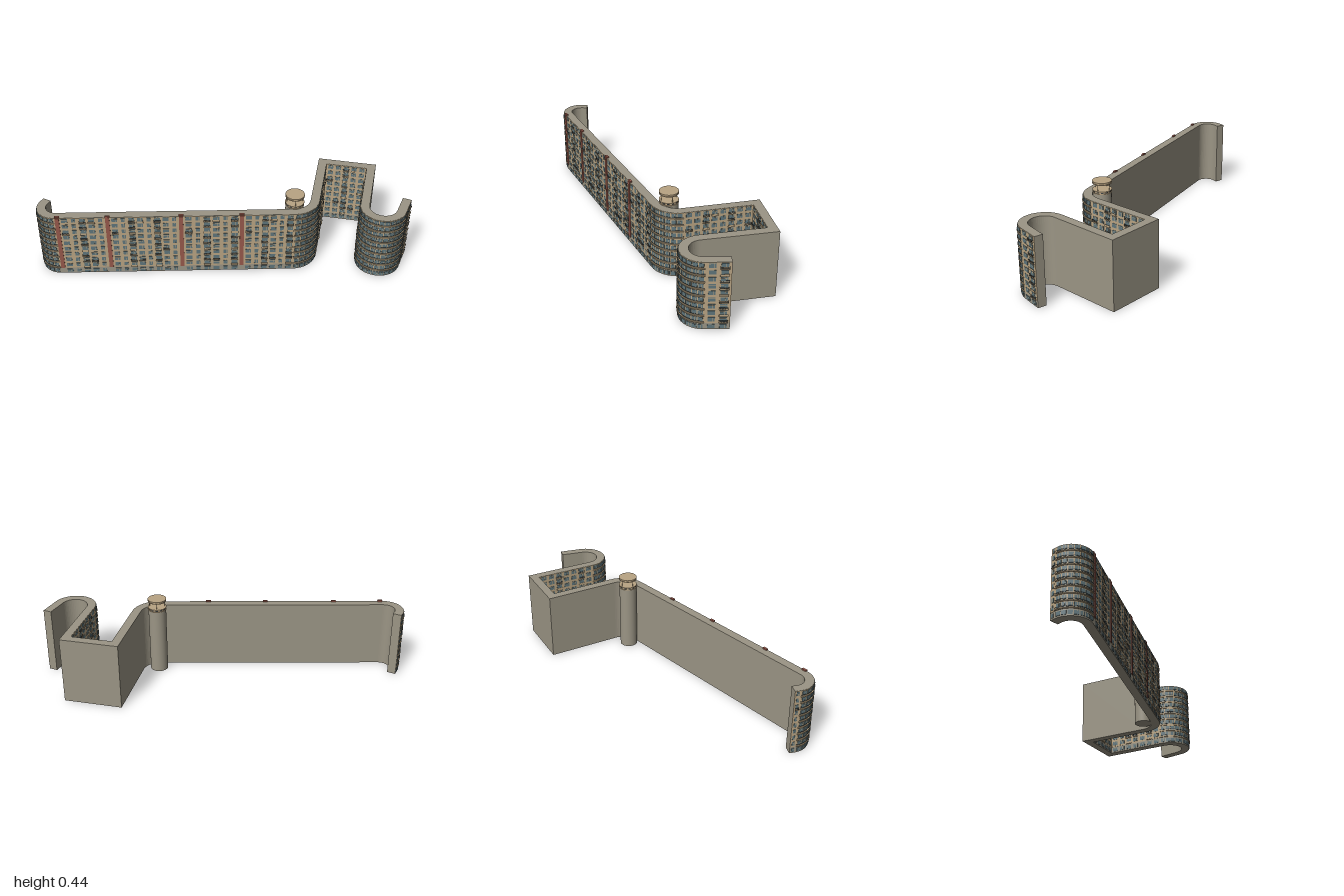
import * as THREE from 'three';
import { mergeGeometries } from 'three/addons/utils/BufferGeometryUtils.js';

const mat = (name, color) => { const m = new THREE.MeshStandardMaterial({ color }); m.name = name; return m; };
const MAT = {
  concrete: mat('grey concrete', 0x9b9585),
  tan: mat('tan plaster', 0xb9a483),
  glass: mat('blue grey glass', 0x5f757b),
  dark: mat('dark railing', 0x3d4244),
  brick: mat('red brown brick', 0x96594b),
};
const T = 0.047, H = 0.374, FLOORS = 10, FH = H / FLOORS;
const rad = Math.PI / 180;

// Centre line of the winding block in plan: sections of points [x, z]
const arc = (cx, cz, r, a0, a1, n) => Array.from({ length: n + 1 }, (_, i) => {
  const a = (a0 + (a1 - a0) * i / n) * rad;
  return [cx + r * Math.cos(a), cz + r * Math.sin(a)];
});
const hook = arc(-0.895, 0.109, 0.08, 207, 90, 14);
const bend = arc(0.364, 0.076, 0.12, 90, 13, 12);
const bulb = arc(0.837, 0.174, 0.097, 195.4, 24.3, 22);
const sections = [
  { name: 'hookTip', pts: [[-0.952, 0.046], hook[0]], fill: 0.6 },
  { name: 'hook', pts: hook, fill: 0.8, ribbon: true },
  { name: 'long', pts: [hook[14], bend[0]], fill: 0.68 },
  { name: 'bend', pts: bend, fill: 0.8, ribbon: true },
  { name: 'wingA', pts: [bend[12], [0.567, -0.271]], fill: 0.65 },
  { name: 'wingB', pts: [[0.567, -0.271], [0.834, -0.207]], fill: 0.65 },
  { name: 'wingC', pts: [[0.834, -0.207], bulb[0]], fill: 0.65 },
  { name: 'bulb', pts: bulb, fill: 0.84, ribbon: true },
  { name: 'bulbTip', pts: [bulb[22], [0.976, 0.104]], fill: 0.6 },
];

// Facade line: centre line moved outward with mitred corners, measured by length s
const line = [];
sections.forEach((sec, k) => {
  sec.i0 = k ? line.length - 1 : 0;
  (k ? sec.pts.slice(1) : sec.pts).forEach(([x, z]) => line.push({ x, z }));
  sec.i1 = line.length - 1;
});
const normal = (a, b) => {
  const l = Math.hypot(b.x - a.x, b.z - a.z);
  return [-(b.z - a.z) / l, (b.x - a.x) / l];
};
line.forEach((p, i) => {
  const a = normal(line[Math.max(i - 1, 0)], line[Math.max(i, 1)]);
  const last = line.length - 1;
  const b = normal(line[Math.min(i, last - 1)], line[Math.min(i + 1, last)]);
  const k = 1 / (1 + a[0] * b[0] + a[1] * b[1]);
  p.m = [(a[0] + b[0]) * k, (a[1] + b[1]) * k];
});
line.forEach((p) => { p.x += p.m[0] * T / 2; p.z += p.m[1] * T / 2; });
line.forEach((p, i) => { p.s = i ? line[i - 1].s + Math.hypot(p.x - line[i - 1].x, p.z - line[i - 1].z) : 0; });

// Wall following the facade between two points, from offset o0 to o1
function band(i0, i1, y0, y1, o0, o1) {
  const run = line.slice(i0, i1 + 1);
  const side = (o) => run.map((p) => new THREE.Vector2(p.x + p.m[0] * o, -(p.z + p.m[1] * o)));
  const shape = new THREE.Shape([...side(o1), ...side(o0).reverse()]);
  const g = new THREE.ExtrudeGeometry(shape, { depth: y1 - y0, bevelEnabled: false });
  return g.rotateX(-Math.PI / 2).translate(0, y0, 0);
}

// Box on the facade at length s: centre u along, y up, o outward
function block(s, w, h, d, y, o = 0, u = 0) {
  let i = 1;
  while (i < line.length - 1 && line[i].s < s) i++;
  const a = line[i - 1], b = line[i], f = (s - a.s) / (b.s - a.s);
  const [nx, nz] = normal(a, b);
  return new THREE.BoxGeometry(w, h, d).translate(u, y, o).rotateY(Math.atan2(nx, nz))
    .translate(a.x + (b.x - a.x) * f, 0, a.z + (b.z - a.z) * f);
}

export function createModel() {
  const group = new THREE.Group();
  const add = (name, material, geos, parent = group) => {
    const list = [].concat(geos).map((g) => (g.index ? g.toNonIndexed() : g));
    const m = new THREE.Mesh(mergeGeometries(list), material);
    m.name = name;
    parent.add(m);
  };
  const end = line.length - 1;
  add('buildingBody', MAT.concrete, band(0, end, 0, H, -T, 0));
  add('upperFacade', MAT.tan, band(0, end, FH, H - 0.001, 0, 0.001));

  const panes = [], frames = [], slabs = [], rails = [], parapets = [];

  function windowAt(s, w, f) {
    const y = f * FH + (f ? 0.021 : 0.018), h = f ? 0.023 : 0.021;
    panes.push(block(s, w, h, 0.004, y, 0.0005));
    frames.push(block(s, 0.0012, h, 0.005, y, 0.0005, w * 0.17));
    if (w > 0.025) frames.push(block(s, w, 0.001, 0.005, y + h * 0.25, 0.0005));
  }
  function balconyAt(s, w, f, solid) {
    const y = f * FH + 0.003, d = 0.008;
    slabs.push(block(s, w, 0.003, d, y, d / 2));
    if (solid) { parapets.push(block(s, w, 0.011, 0.0015, y + 0.006, d)); return; }
    for (const h of [0.006, 0.012]) rails.push(block(s, w, 0.0016, 0.0012, y + h, d - 0.001));
    for (let k = 0; k <= 6; k++) rails.push(block(s, 0.001, 0.012, 0.001, y + 0.006, d - 0.001, (k / 6 - 0.5) * w * 0.98));
    for (const e of [-1, 1]) rails.push(block(s, 0.001, 0.0016, d, y + 0.012, d / 2, e * w * 0.49));
  }
  // Evenly spaced window bays from s0 to s1
  function bays(s0, s1, sec) {
    const n = Math.max(1, Math.round((s1 - s0) / (sec.ribbon ? 0.03 : 0.046)));
    const step = (s1 - s0) / n;
    for (let i = 0; i < n; i++) {
      const s = s0 + step * (i + 0.5);
      const narrow = sec.name === 'long' && i % 3 === 1;
      for (let f = 0; f < FLOORS; f++) {
        windowAt(s, step * (narrow ? 0.45 : sec.fill), f);
        if (!f || sec.ribbon) continue;
        if (sec.name === 'bulbTip' ? i === n - 1 : !narrow && i % 3 === 2 || (!narrow && (i * 5 + f * 3) % 7 === 0)) {
          balconyAt(s, step * 0.78, f, (f + i) % 3 === 0);
        }
      }
    }
  }

  // Stair strips divide the long front
  const strips = [-0.885, -0.62, -0.235, 0.085];
  const brick = [], caps = [];
  for (const sec of sections) {
    const s0 = line[sec.i0].s, s1 = line[sec.i1].s;
    if (sec.name === 'long') {
      const at = strips.map((x) => s0 + Math.max(0.014, x - line[sec.i0].x));
      at.forEach((s) => {
        brick.push(block(s, 0.022, H - FH, 0.006, (H + FH) / 2, 0.002));
        caps.push(block(s, 0.026, 0.008, 0.012, H + 0.003, -0.004));
      });
      [...at, s1 + 0.012].forEach((s, k) => { if (k) bays(at[k - 1] + 0.014, s - 0.014, sec); });
    } else bays(s0 + 0.004, s1 - 0.004, sec);
    // Continuous balcony ledges on the curves
    if (sec.ribbon) for (let f = 1; f < FLOORS; f++) {
      slabs.push(band(sec.i0, sec.i1, f * FH, f * FH + 0.005, 0, 0.006));
      rails.push(band(sec.i0, sec.i1, f * FH + 0.012, f * FH + 0.0135, 0.004, 0.0055));
    }
  }
  add('windows', MAT.glass, panes);
  add('windowFrames', MAT.tan, frames);
  add('balconySlabs', MAT.tan, slabs);
  add('balconyParapets', MAT.tan, parapets);
  add('balconyRailings', MAT.dark, rails);
  add('stairStrips', MAT.brick, brick);
  add('stairCaps', MAT.brick, caps);

  // Round tower with an open lantern
  const tower = new THREE.Group();
  tower.name = 'tower';
  tower.position.set(0.369, 0, 0.126);
  group.add(tower);
  const cyl = (r, y0, y1, n = 32) => new THREE.CylinderGeometry(r, r, y1 - y0, n).translate(0, (y0 + y1) / 2, 0);
  add('towerShaft', MAT.concrete, cyl(0.049, 0, 0.375), tower);
  add('towerDrum', MAT.tan, [cyl(0.051, 0.374, 0.377), cyl(0.047, 0.377, 0.388), cyl(0.051, 0.388, 0.391)], tower);
  add('towerRoof', MAT.tan, [cyl(0.051, 0.425, 0.428), cyl(0.048, 0.428, 0.436), cyl(0.051, 0.436, 0.438)], tower);
  const slots = [], posts = [];
  for (let k = 0; k < 12; k++) {
    slots.push(new THREE.BoxGeometry(0.013, 0.005, 0.003).translate(0, 0.3825, 0.0465).rotateY(k * Math.PI / 6));
  }
  for (let k = 0; k < 4; k++) posts.push(cyl(0.0017, 0.39, 0.426, 8).translate(0, 0, 0.042).rotateY(k * Math.PI / 2));
  add('towerSlots', MAT.dark, slots, tower);
  add('towerPosts', MAT.tan, posts, tower);
  return group;
}
